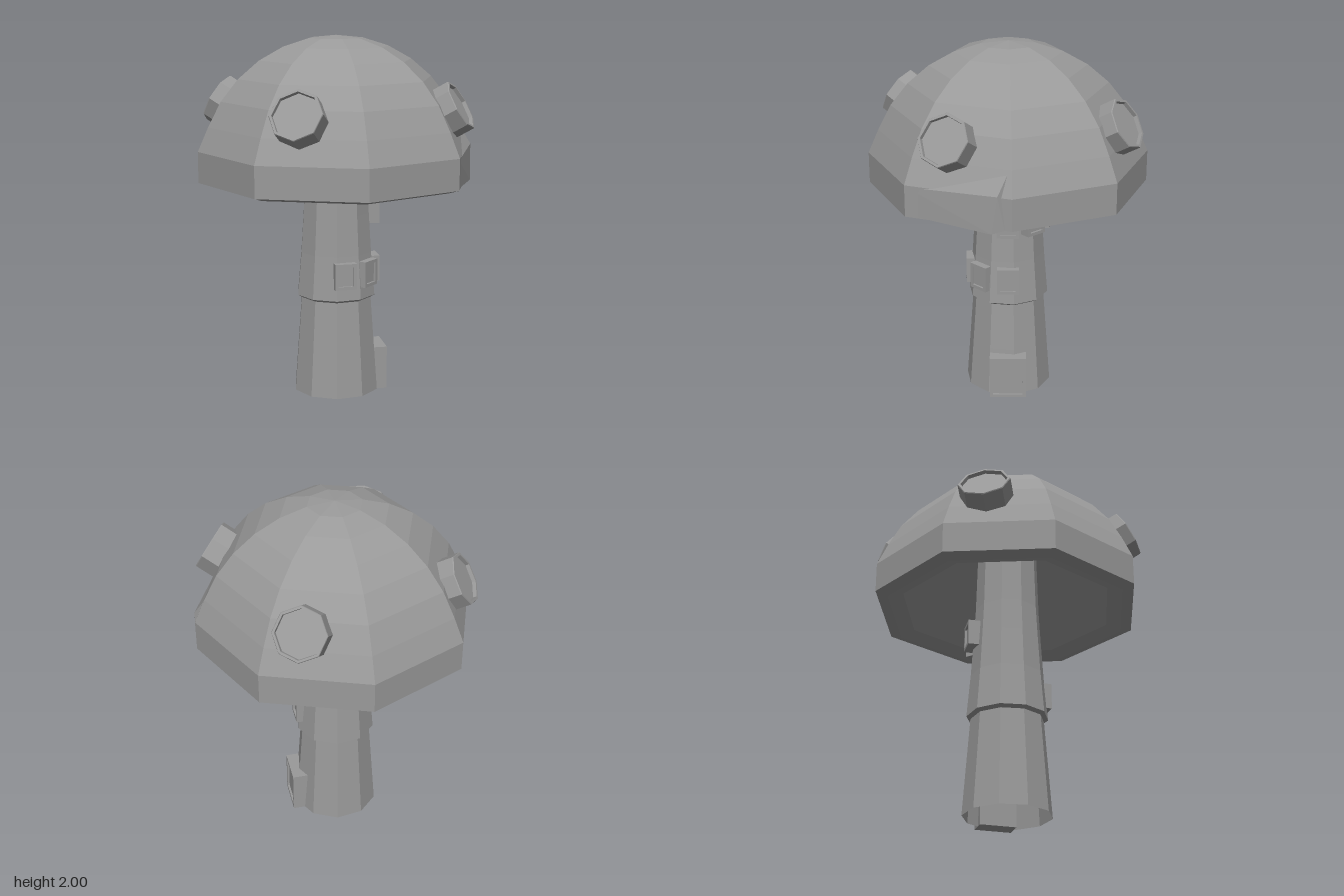
import * as THREE from 'three';
import { ConvexGeometry } from 'three/addons/geometries/ConvexGeometry.js';

const rad = THREE.MathUtils.degToRad;
const V2 = (x, y) => new THREE.Vector2(x, y);
const V3 = (x, y, z) => new THREE.Vector3(x, y, z);

const color = 0x9a9a9a;
const solid = new THREE.MeshStandardMaterial({ color, flatShading: true });
const open = new THREE.MeshStandardMaterial({ color, flatShading: true, side: THREE.DoubleSide });

function add(parent, name, geometry, material = solid) {
  const mesh = new THREE.Mesh(geometry, material);
  mesh.name = name;
  parent.add(mesh);
  return mesh;
}

// Dome profile from the rim up to the apex, with a straight lowest band
function domeProfile(r, y0, h) {
  const pts = [V2(r, y0), V2(r, y0 + 0.17)];
  for (let i = 6; i >= 0; i--) {
    const a = (i / 8) * Math.PI / 2;
    pts.push(V2(r * Math.sin(a), y0 + h * Math.cos(a)));
  }
  return pts;
}

// Rectangular frame with a recessed panel, facing outward from the stem
function framedPanel(name, w, h, border, depth, recess) {
  const group = new THREE.Group();
  group.name = name;
  const rect = (Type, a, b) => new Type([V2(-a, -b), V2(a, -b), V2(a, b), V2(-a, b)]);
  const shape = rect(THREE.Shape, w / 2, h / 2);
  shape.holes.push(rect(THREE.Path, w / 2 - border, h / 2 - border));
  const frame = new THREE.ExtrudeGeometry(shape, { depth, bevelEnabled: false });
  frame.translate(0, 0, -depth);
  add(group, name + 'Frame', frame);
  const pane = new THREE.BoxGeometry(w - 2 * border, h - 2 * border, depth - recess);
  pane.translate(0, 0, -(depth + recess) / 2);
  add(group, name + 'Pane', pane);
  return group;
}

// Place a part around the stem: angle runs from +z towards +x
function placeAround(part, angle, radius, y) {
  const a = rad(angle);
  part.position.set(radius * Math.sin(a), y, radius * Math.cos(a));
  part.rotation.y = a;
  return part;
}

export function createModel() {
  const model = new THREE.Group();
  model.name = 'mushroomHouse';

  // Stem: two tapered ten-sided sections, the upper one overlapping the lower
  const stemStart = rad(19);
  add(model, 'lowerStem', new THREE.LatheGeometry(
    [V2(0.243, 0), V2(0.223, 0.27), V2(0.202, 0.55)], 10, stemStart), open);
  add(model, 'upperStem', new THREE.LatheGeometry(
    [V2(0.199, 0.54), V2(0.225, 0.557), V2(0.204, 0.8), V2(0.19, 1.02), V2(0.18, 1.2), V2(0.168, 1.62)],
    10, stemStart), open);

  // Eight-sided cap: conical ceiling, thick bevelled rim, dome
  const underside = [V2(0.15, 1.61), V2(0.61, 1.22), V2(0.7, 1.19)];
  add(model, 'cap', new THREE.LatheGeometry([...underside, ...domeProfile(0.766, 1.21, 0.79)], 8, rad(30)));

  // Slightly bulging fold on one cap side, ending in a small step
  add(model, 'capFold', new ConvexGeometry([
    V3(0.67, 1.21, -0.345), V3(0.61, 1.51, -0.34),
    V3(0.70, 1.19, -0.285), V3(0.692, 1.39, -0.315),
    V3(0.735, 1.22, 0.19), V3(0.735, 1.37, 0.19),
  ]));

  // Four raised round spots with recessed faces
  const spotProfile = [V2(0.143, -0.13), V2(0.143, -0.005), V2(0.14, 0), V2(0.127, 0), V2(0.125, -0.02), V2(0, -0.02)];
  for (let i = 0; i < 4; i++) {
    const a = i * Math.PI / 2 + 0.013;
    const spot = add(model, 'capSpot', new THREE.LatheGeometry(spotProfile, 8, rad(4)));
    spot.position.set(0.699 * Math.sin(a), 1.64, 0.699 * Math.cos(a));
    spot.rotation.set(rad(60), a, 0, 'YXZ');
  }

  // Two staggered rows of windows
  const rows = [[0.697, 0.238, [31, 73, 118]], [1.03, 0.235, [118, 160, 204]]];
  for (const [y, radius, angles] of rows) {
    for (const angle of angles) {
      model.add(placeAround(framedPanel('window', 0.122, 0.145, 0.018, 0.07, 0.012), angle, radius, y));
    }
  }

  // Door at the foot of the stem
  model.add(placeAround(framedPanel('door', 0.205, 0.245, 0.018, 0.11, 0.012), 118, 0.275, 0.1225));

  return model;
}
